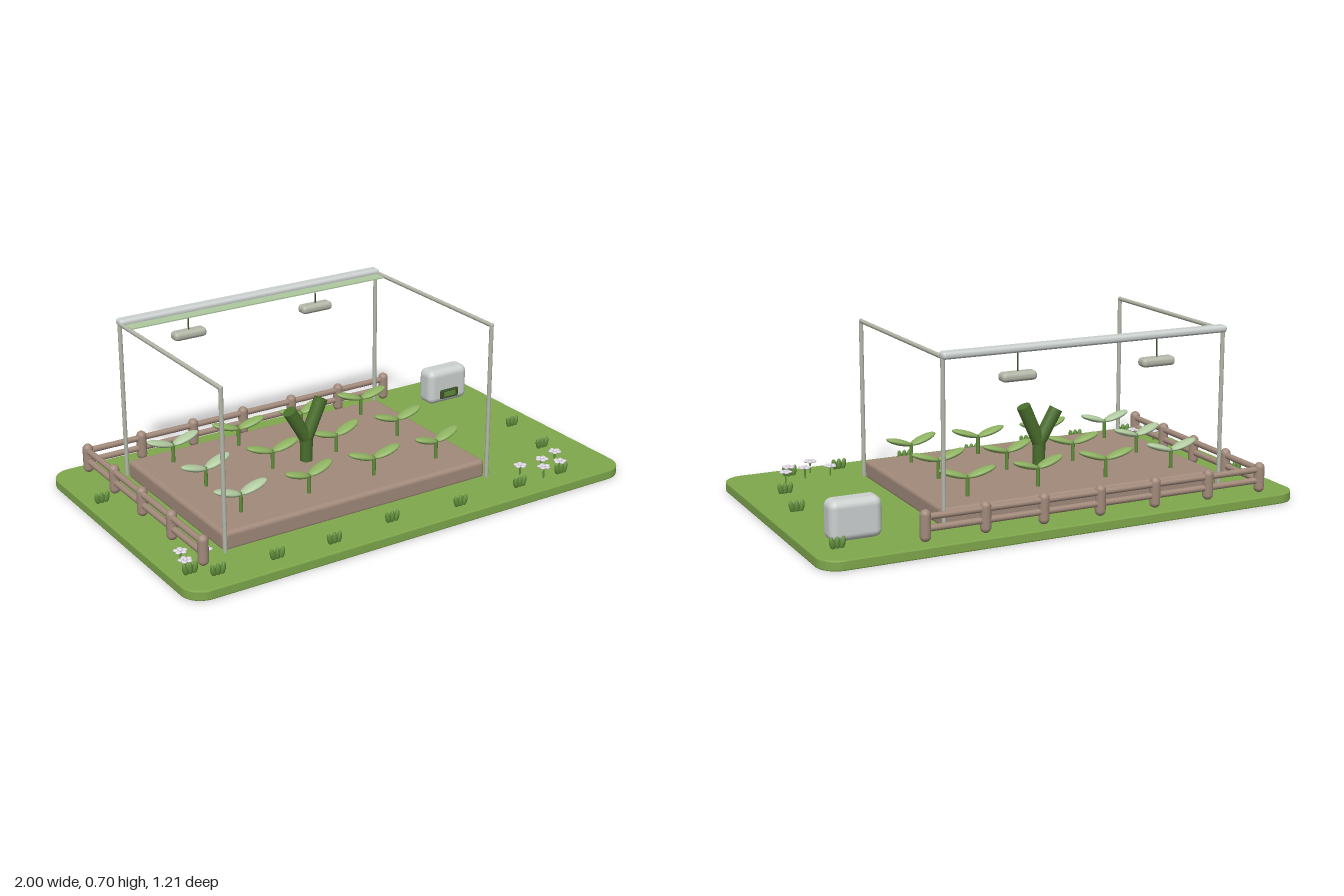
import * as THREE from 'three';
import { RoundedBoxGeometry } from 'three/addons/geometries/RoundedBoxGeometry.js';

const mat = (name, color) => {
  const m = new THREE.MeshStandardMaterial({ color });
  m.name = name;
  return m;
};

export function createModel() {
  const M = {
    grass: mat('grass green', 0x7fa84c),
    earth: mat('earth and wood brown', 0xa28a7b),
    frame: mat('frame grey', 0xb3b7a8),
    shell: mat('pale shell grey', 0xccd1d0),
    leaf: mat('leaf green', 0x8db161),
    paleLeaf: mat('pale leaf green', 0xb0caa0),
    trunk: mat('dark stalk green', 0x4a6e2c),
    tuft: mat('tuft green', 0x5f8c3a),
    petal: mat('petal white', 0xdcd6e0),
    dark: mat('dark panel', 0x3e5229),
  };
  const model = new THREE.Group();
  model.name = 'gardenPlot';

  const add = (parent, name, geo, material, x = 0, y = 0, z = 0) => {
    const mesh = new THREE.Mesh(geo, material);
    mesh.name = name;
    mesh.position.set(x, y, z);
    parent.add(mesh);
    return mesh;
  };
  const group = (name, x = 0, y = 0, z = 0, parent = model) => {
    const g = new THREE.Group();
    g.name = name;
    g.position.set(x, y, z);
    parent.add(g);
    return g;
  };
  // Round bar between two points
  const UP = new THREE.Vector3(0, 1, 0);
  const rod = (parent, name, a, b, r, material, r2 = r) => {
    const p = new THREE.Vector3(...a), d = new THREE.Vector3(...b).sub(p);
    const mesh = add(parent, name, new THREE.CylinderGeometry(r2, r, d.length(), 16), material);
    mesh.position.copy(p).addScaledVector(d, 0.5);
    mesh.quaternion.setFromUnitVectors(UP, d.normalize());
    return mesh;
  };
  const ball = new THREE.SphereGeometry(1, 20, 14);
  const blob = (parent, name, material, pos, size) => {
    const mesh = add(parent, name, ball, material, ...pos);
    mesh.scale.set(...size);
    return mesh;
  };

  // Lawn slab with rounded corners
  const w = 0.995, d = 0.6, r = 0.08, bevel = 0.005;
  const outline = new THREE.Shape();
  outline.absarc(w - r, d - r, r, 0, Math.PI / 2);
  outline.absarc(r - w, d - r, r, Math.PI / 2, Math.PI);
  outline.absarc(r - w, r - d, r, Math.PI, Math.PI * 1.5);
  outline.absarc(w - r, r - d, r, Math.PI * 1.5, Math.PI * 2);
  const slab = new THREE.ExtrudeGeometry(outline, {
    depth: 0.03, bevelSize: bevel, bevelThickness: bevel, bevelSegments: 2, curveSegments: 10,
  });
  slab.rotateX(-Math.PI / 2);
  add(model, 'lawn', slab, M.grass, 0, bevel, 0);

  // Raised soil bed
  add(model, 'soilBed', new RoundedBoxGeometry(1.2, 0.08, 0.78, 3, 0.018), M.earth, -0.14, 0.07, -0.02);

  // Fence along the back and the model's right side
  const fence = group('fence');
  const postGeo = new THREE.CapsuleGeometry(0.021, 0.08, 6, 16);
  const fx = -0.855, fz = -0.535, step = 0.24;
  for (let i = 0; i < 7; i++) add(fence, 'fencePost', postGeo, M.earth, fx + i * step, 0.1, fz);
  for (let i = 1; i < 5; i++) add(fence, 'fencePost', postGeo, M.earth, fx, 0.1, fz + i * step);
  for (const y of [0.088, 0.132]) {
    rod(fence, 'backRail', [fx, y, fz], [fx + 6 * step, y, fz], 0.0125, M.earth);
    rod(fence, 'sideRail', [fx, y, fz], [fx, y, fz + 4 * step], 0.0125, M.earth);
  }

  // Overhead frame, cover roll and hanging lamps
  const frame = group('overheadFrame');
  for (const x of [-0.74, 0.46]) {
    for (const z of [0.38, -0.42]) {
      rod(frame, 'framePost', [x, 0.03, z], [x, 0.685, z], 0.0085, M.frame);
      blob(frame, 'frameJoint', M.frame, [x, 0.685, z], [0.0085, 0.0085, 0.0085]);
    }
    rod(frame, 'frameSideBar', [x, 0.684, 0.38], [x, 0.684, -0.42], 0.0085, M.frame);
  }
  add(frame, 'coverRoll', new RoundedBoxGeometry(1.215, 0.028, 0.05, 4, 0.0125), M.shell, -0.14, 0.69, -0.42);
  add(frame, 'coverSheet', new THREE.BoxGeometry(1.19, 0.005, 0.055), M.paleLeaf, -0.14, 0.682, -0.371);
  for (const x of [-0.44, 0.157]) {
    const lamp = group('lamp', x, 0.586, -0.42, frame);
    add(lamp, 'lampBody', new RoundedBoxGeometry(0.145, 0.036, 0.054, 4, 0.016), M.frame);
    rod(lamp, 'lampWire', [0, 0.015, 0], [0, 0.095, 0], 0.003, M.dark);
  }

  // Seedlings: a stem and two leaves raised at the tips, each turned a little
  const turns = [[0, -1, 1, -1], [1, -0.6, 1, 0], [0, 1, -0.6, 1]];
  turns.forEach((row, j) => row.forEach((turn, i) => {
    const plant = group('seedling', -0.595 + i * 0.3, 0.1, -0.293 + j * 0.27);
    plant.rotation.y = turn * 0.13;
    rod(plant, 'seedlingStem', [0, 0, 0], [0, 0.09, 0], 0.0075, M.tuft);
    for (const s of [-1, 1]) {
      const leaf = blob(plant, 'seedlingLeaf', i ? M.leaf : M.paleLeaf,
        [s * 0.056, 0.101, 0], [0.06, 0.013, 0.029]);
      leaf.rotation.z = s * 0.3;
    }
  }));

  // Forked stalk
  const stalk = group('forkedStalk', -0.14, 0, -0.02);
  rod(stalk, 'stalkTrunk', [0, 0.1, 0], [0, 0.22, 0], 0.025, M.trunk, 0.027);
  blob(stalk, 'stalkFork', M.trunk, [0, 0.215, 0], [0.028, 0.028, 0.028]);
  rod(stalk, 'stalkBranch', [0, 0.205, 0], [-0.077, 0.337, 0], 0.027, M.trunk, 0.028);
  rod(stalk, 'stalkBranch', [0, 0.205, 0], [0.07, 0.361, 0], 0.027, M.trunk, 0.028);

  // Storage box with a small front panel
  const box = group('utilityBox', 0.803, 0.12, -0.382);
  add(box, 'boxBody', new RoundedBoxGeometry(0.204, 0.156, 0.094, 5, 0.03), M.shell);
  add(box, 'boxPanel', new RoundedBoxGeometry(0.095, 0.042, 0.012, 2, 0.005), M.dark, 0, -0.034, 0.048);
  add(box, 'boxPanelFace', new THREE.BoxGeometry(0.06, 0.022, 0.004), M.tuft, 0, -0.034, 0.054);

  // Grass tufts: a fan of small blades
  const tufts = [
    [-0.935, -0.245], [-0.925, 0.455], [-0.845, 0.515], [-0.605, 0.525], [-0.365, 0.535], [-0.085, 0.505],
    [0.215, 0.535], [0.515, 0.525], [0.735, 0.515], [0.835, 0.275], [0.875, 0.025], [0.895, -0.465],
  ];
  for (const [x, z] of tufts) {
    const tuft = group('grassTuft', x, 0.04, z);
    for (const s of [-1, 0, 1]) {
      const blade = blob(tuft, 'grassBlade', M.tuft, [s * 0.02, 0.018, 0], [0.0105, 0.025, 0.0095]);
      blade.rotation.z = -s * 0.22;
    }
  }

  // Flowers: five flat petals around a centre on a thin stem
  const flowers = [
    [-0.91, 0.355], [-0.832, 0.398], [-0.935, 0.44], [0.585, 0.44],
    [0.692, 0.445], [0.645, 0.515], [0.745, 0.495], [0.785, 0.415],
  ];
  flowers.forEach(([x, z], n) => {
    const flower = group('flower', x, 0.04, z);
    const h = 0.042 + (n % 3) * 0.004;
    rod(flower, 'flowerStem', [0, -0.005, 0], [0, h, 0], 0.0035, M.tuft);
    blob(flower, 'flowerCentre', M.petal, [0, h + 0.003, 0], [0.008, 0.006, 0.008]);
    for (let k = 0; k < 5; k++) {
      const a = k * Math.PI * 0.4 + n * 0.5;
      blob(flower, 'flowerPetal', M.petal, [Math.cos(a) * 0.017, h, Math.sin(a) * 0.017], [0.0105, 0.005, 0.0105]);
    }
  });

  return model;
}
